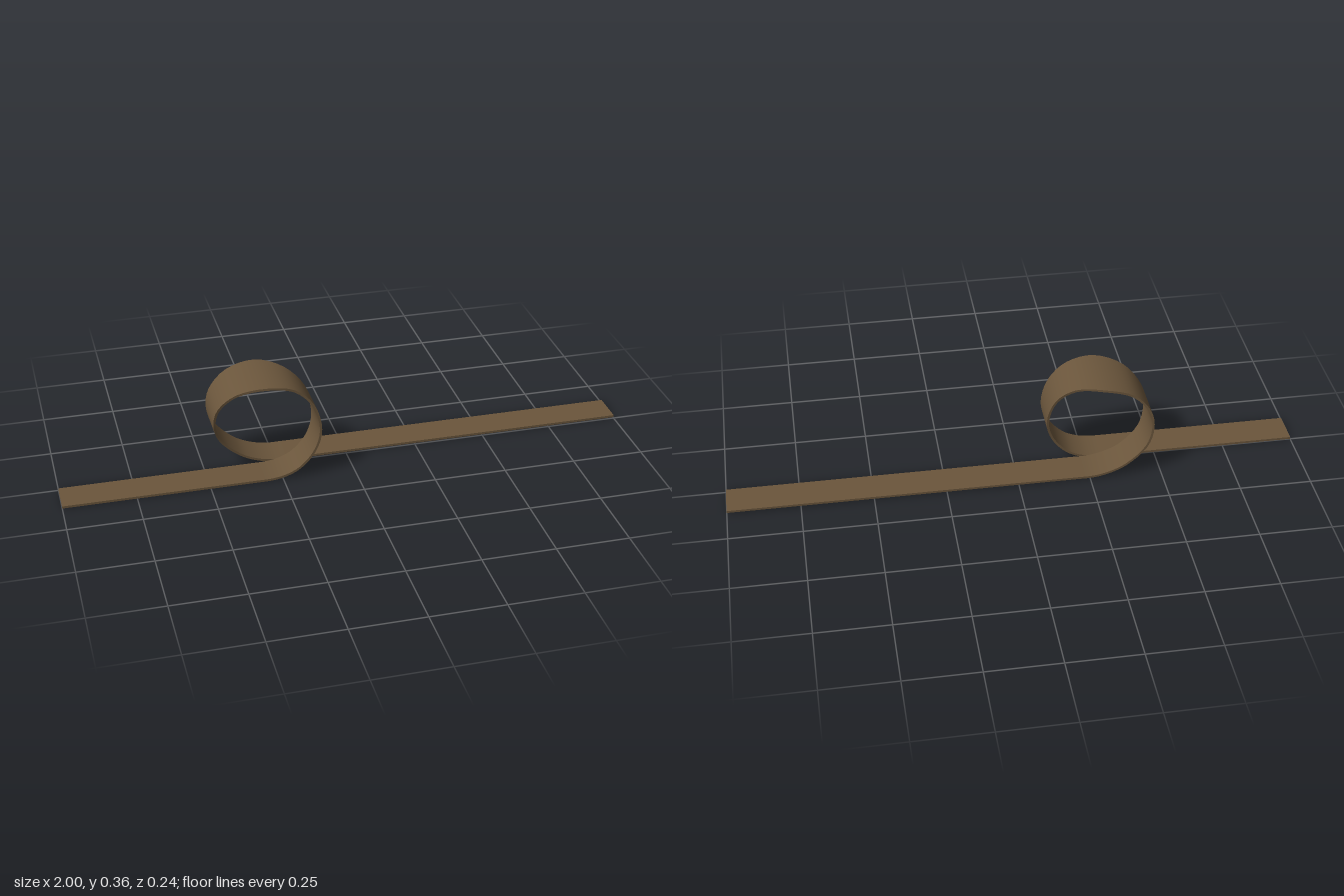
import * as THREE from 'three';
import { mergeGeometries } from 'three/addons/utils/BufferGeometryUtils.js';

const HALF_THICKNESS = 0.004;
const STEPS = 4; // samples between stations

// Stations along the ribbon: x, y, z of front edge, z of back edge
const STATIONS = [
  [-1, 0.004, 0.118, 0], [-0.5, 0.004, 0.118, 0], [-0.36, 0.004, 0.118, 0],
  [-0.3, 0.004, 0.118, 0], [-0.245, 0.012, 0.118, 0], [-0.19, 0.038, 0.118, 0],
  [-0.138, 0.098, 0.118, -0.002], [-0.117, 0.176, 0.118, -0.01],
  [-0.143, 0.272, 0.118, -0.026], [-0.206, 0.334, 0.118, -0.058],
  [-0.297, 0.352, 0.117, -0.1], [-0.395, 0.324, 0.086, -0.107],
  [-0.453, 0.257, 0.05, -0.112], [-0.465, 0.19, 0.03, -0.115],
  [-0.444, 0.118, 0.01, -0.118], [-0.377, 0.05, 0, -0.118],
  [-0.32, 0.022, 0, -0.118], [-0.262, 0.009, 0, -0.118],
  [-0.2, 0.008, 0, -0.118], [-0.1, 0.008, 0, -0.118], [1, 0.008, 0, -0.118],
];

// Smooth surface between two rows of points, facing along x (b - a)
function surface(a, b) {
  const index = [];
  const n = a.length;
  for (let i = 0; i < n - 1; i++) {
    index.push(i, i + 1, n + i + 1, i, n + i + 1, n + i);
  }
  const g = new THREE.BufferGeometry().setFromPoints([...a, ...b]);
  g.setIndex(index);
  g.computeVertexNormals();
  return g;
}

// Upper and lower rows of one long edge of the ribbon
function edgeRows(zColumn) {
  const curve = new THREE.CatmullRomCurve3(
    STATIONS.map((s) => new THREE.Vector3(s[0], s[1], s[zColumn])));
  const count = (STATIONS.length - 1) * STEPS;
  const upper = [], lower = [];
  for (let i = 0; i <= count; i++) {
    const p = curve.getPoint(i / count);
    p.y = Math.max(p.y, HALF_THICKNESS);
    const t = curve.getTangent(i / count);
    const normal = new THREE.Vector3(-t.y, t.x, 0).normalize();
    upper.push(p.clone().addScaledVector(normal, HALF_THICKNESS));
    lower.push(p.clone().addScaledVector(normal, -HALF_THICKNESS));
    lower[i].y = Math.max(lower[i].y, 0);
  }
  return { upper, lower };
}

export function createModel() {
  const group = new THREE.Group();
  group.name = 'loopTrack';
  const brown = new THREE.MeshStandardMaterial({ color: 0x6b563c });
  brown.name = 'brown';

  const front = edgeRows(2);
  const back = edgeRows(3);
  const last = front.upper.length - 1;

  const add = (name, geometry) => {
    const mesh = new THREE.Mesh(geometry, brown);
    mesh.name = name;
    group.add(mesh);
  };

  // Running surface, inside the loop
  add('trackSurface', surface(front.upper, back.upper));
  // Underside, outside the loop
  add('trackUnderside', surface(back.lower, front.lower));
  // Thin long sides
  add('trackSides', mergeGeometries([
    surface(front.lower, front.upper),
    surface(back.upper, back.lower),
  ]));
  // Short end faces
  add('trackEnds', mergeGeometries([
    surface([back.lower[0], front.lower[0]], [back.upper[0], front.upper[0]]),
    surface([front.lower[last], back.lower[last]], [front.upper[last], back.upper[last]]),
  ]));

  return group;
}
